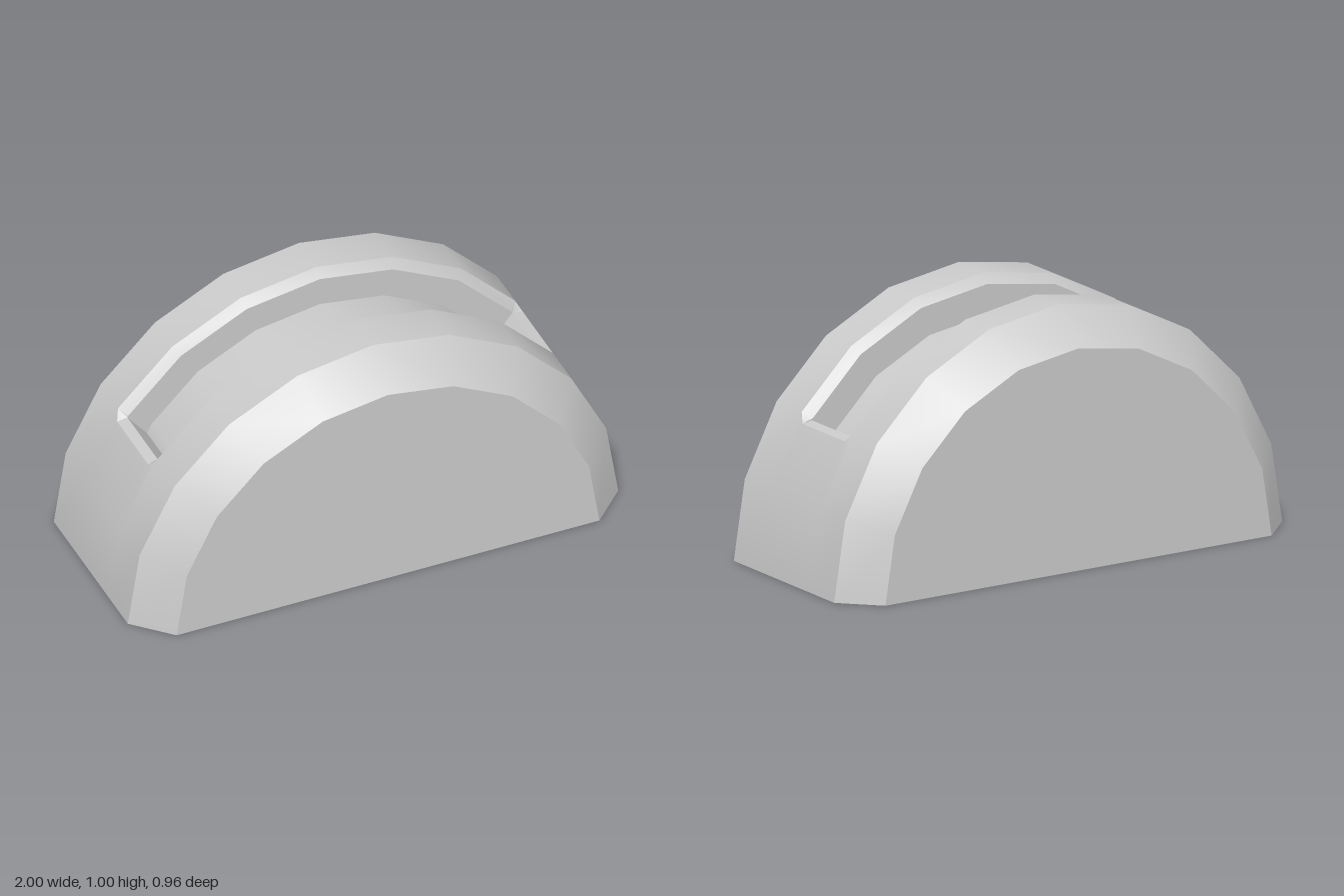
import * as THREE from 'three';
import { toCreasedNormals } from 'three/addons/utils/BufferGeometryUtils.js';

// Point on the arch, k counts 18 degree steps from the +x foot
const SEGMENTS = 10;
const arc = (r, k, z) => [
  r * Math.cos(k * Math.PI / SEGMENTS),
  k === 0 || k === SEGMENTS ? 0 : r * Math.sin(k * Math.PI / SEGMENTS),
  z,
];

// Collects faces, then makes a mesh that is smooth along the arch and sharp at chamfers
function createSurface() {
  const positions = [];
  const tri = (a, b, c) => positions.push(...a, ...b, ...c);
  const quad = (a, b, c, d) => { tri(a, b, c); tri(a, c, d); };
  const strip = (low, high) => {
    for (let i = 0; i < low.length - 1; i++) quad(low[i], low[i + 1], high[i + 1], high[i]);
  };
  const mesh = (name) => {
    const geometry = new THREE.BufferGeometry();
    geometry.setAttribute('position', new THREE.Float32BufferAttribute(positions, 3));
    const m = new THREE.Mesh(toCreasedNormals(geometry, 0.5), new THREE.MeshStandardMaterial({ color: 0xcccccc }));
    m.name = name;
    return m;
  };
  return { tri, quad, strip, mesh };
}

export function createModel() {
  const group = new THREE.Group();
  group.name = 'slottedHalfDrum';

  // Cross-sections as [radius, z], from front to back
  const front = [[0.862, 0.478], [1, 0.34], [1, 0.17]];
  const back = [[1, -0.18], [1, -0.34], [0.862, -0.478]];
  const slot = [[1, 0.17], [0.965, 0.137], [0.848, 0.137], [0.848, -0.148], [0.965, -0.148], [1, -0.18]];
  const row = (profile, k) => profile.map(([r, z]) => arc(r, k, z));

  const body = createSurface();
  const groove = createSurface();

  for (let k = 0; k < SEGMENTS; k++) {
    // Chamfered rims and outer bands
    body.strip(row(front, k), row(front, k + 1));
    body.strip(row(back, k), row(back, k + 1));
    // Flat end faces
    body.tri([0, 0, 0.478], arc(0.862, k, 0.478), arc(0.862, k + 1, 0.478));
    body.tri([0, 0, -0.478], arc(0.862, k + 1, -0.478), arc(0.862, k, -0.478));
    // Middle band: solid at the feet, slotted over the crown
    const middle = [front[2], back[0]];
    if (k === 0 || k === SEGMENTS - 1) body.strip(row(middle, k), row(middle, k + 1));
    else if (k > 1 && k < SEGMENTS - 2) groove.strip(row(slot, k), row(slot, k + 1));
  }

  // Underside
  const outline = [...front, ...back];
  for (let i = 0; i < outline.length - 1; i++) {
    const [r1, z1] = outline[i], [r2, z2] = outline[i + 1];
    body.quad([r1, 0, z1], [-r1, 0, z1], [-r2, 0, z2], [r2, 0, z2]);
  }

  // Slot ends: the bevelled lip and sloping wall, mirrored left and right
  const rim = [0.827, 0.553], lip = [0.785, 0.56], foot = [0.705, 0.461];
  for (const side of [1, -1]) {
    const flip = ([x, y, z]) => [side * x, y, z];
    const tri = (target, a, b, c) => (side > 0
      ? target.tri(a, b, c)
      : target.tri(flip(a), flip(c), flip(b)));
    const quad = (target, a, b, c, d) => { tri(target, a, b, c); tri(target, a, c, d); };

    const low = [
      [...rim, 0.137], [...lip, 0.137], [...foot, 0.137],
      [...foot, -0.148], [...lip, -0.148], [...rim, -0.148],
    ];
    const high = row(slot, 2);
    for (let i = 0; i < 5; i++) quad(groove, low[i], low[i + 1], high[i + 1], high[i]);
    quad(groove, low[0], low[5], low[4], low[1]);
    quad(groove, low[1], low[4], low[3], low[2]);

    // Outer facet around the slot end
    const a = arc(1, 1, 0.17), b = arc(1, 1, -0.18);
    quad(body, a, b, low[5], low[0]);
    tri(body, a, low[0], high[0]);
    tri(body, b, high[5], low[5]);
  }

  group.add(body.mesh('body'), groove.mesh('slot'));
  return group;
}
